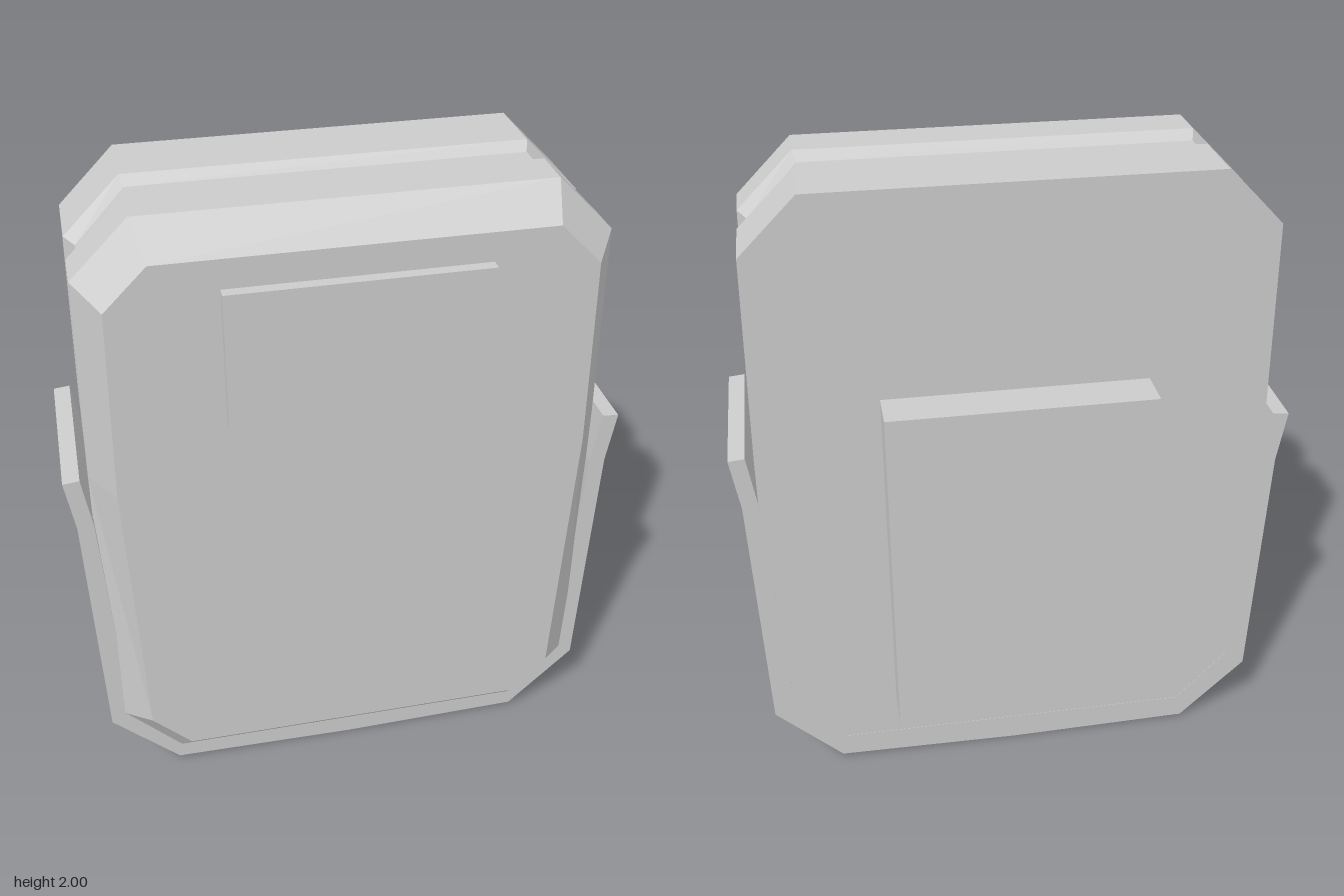
import * as THREE from 'three';

const material = new THREE.MeshStandardMaterial({ color: 0xcccccc, flatShading: true });

// Right half (bottom to top) mirrored into a full counter-clockwise loop
const mirrored = half => [...half, ...half.map(([x, y]) => [-x, y]).reverse()];

// Flat-faced solid through matching loops, ordered back to front
function loft(sections) {
  const rings = sections.map(({ z, half }) => mirrored(half).map(([x, y]) => [x, y, z]));
  const n = rings[0].length;
  const pos = [];
  const tri = (a, b, c) => pos.push(...a, ...b, ...c);
  for (let s = 0; s < rings.length - 1; s++) {
    for (let i = 0; i < n; i++) {
      const j = (i + 1) % n;
      const a = rings[s][i], b = rings[s][j], c = rings[s + 1][j], d = rings[s + 1][i];
      tri(a, b, c);
      tri(a, c, d);
    }
  }
  const back = rings[0], front = rings[rings.length - 1];
  for (let i = 1; i < n - 1; i++) {
    tri(back[0], back[i + 1], back[i]);
    tri(front[0], front[i], front[i + 1]);
  }
  const geo = new THREE.BufferGeometry();
  geo.setAttribute('position', new THREE.Float32BufferAttribute(pos, 3));
  geo.computeVertexNormals();
  return geo;
}

export function createModel() {
  const model = new THREE.Group();
  const add = (name, geo, x = 0, y = 0, z = 0) => {
    const mesh = new THREE.Mesh(geo, material);
    mesh.name = name;
    mesh.position.set(x, y, z);
    model.add(mesh);
  };

  // Body: chamfered case with a groove around it and a bevelled front
  const outer = [[0.59, 0.03], [0.785, 0.24], [0.775, 1.2], [0.76, 1.83], [0.59, 2]];
  const groove = [[0.58, 0.05], [0.745, 0.25], [0.738, 1.2], [0.73, 1.815], [0.58, 1.975]];
  const face = [[0.55, 0.165], [0.67, 0.29], [0.7, 1.2], [0.685, 1.79], [0.56, 1.915]];
  add('body', loft([
    { z: -0.262, half: outer },
    { z: -0.047, half: outer },
    { z: -0.015, half: groove },
    { z: 0.06, half: groove },
    { z: 0.097, half: outer },
    { z: 0.232, half: outer },
    { z: 0.353, half: face },
  ]));

  // Sleeve: U-shaped holder with flared upper lips
  const outside = [[0.59, 0.01], [0.8, 0.22], [0.825, 1.04], [0.85, 1.205]];
  const inside = [[0.8, 1.21], [0.775, 1.04], [0.735, 0.27], [0.57, 0.09]];
  const right = [...outside, ...inside];
  const left = right.map(([x, y]) => [-x, y]).reverse();
  const outline = [[0, 0], ...right, ...left];
  const sleeve = new THREE.ExtrudeGeometry(
    new THREE.Shape(outline.map(p => new THREE.Vector2(...p))),
    { depth: 0.527, bevelEnabled: false });
  add('sleeve', sleeve, 0, 0, -0.263);

  // Raised plates on the front and back
  add('frontPlate', new THREE.BoxGeometry(0.75, 0.42, 0.05), 0, 1.617, 0.363);
  add('backPanel', new THREE.BoxGeometry(0.8, 1.14, 0.15), 0, 0.798, -0.315);

  return model;
}
